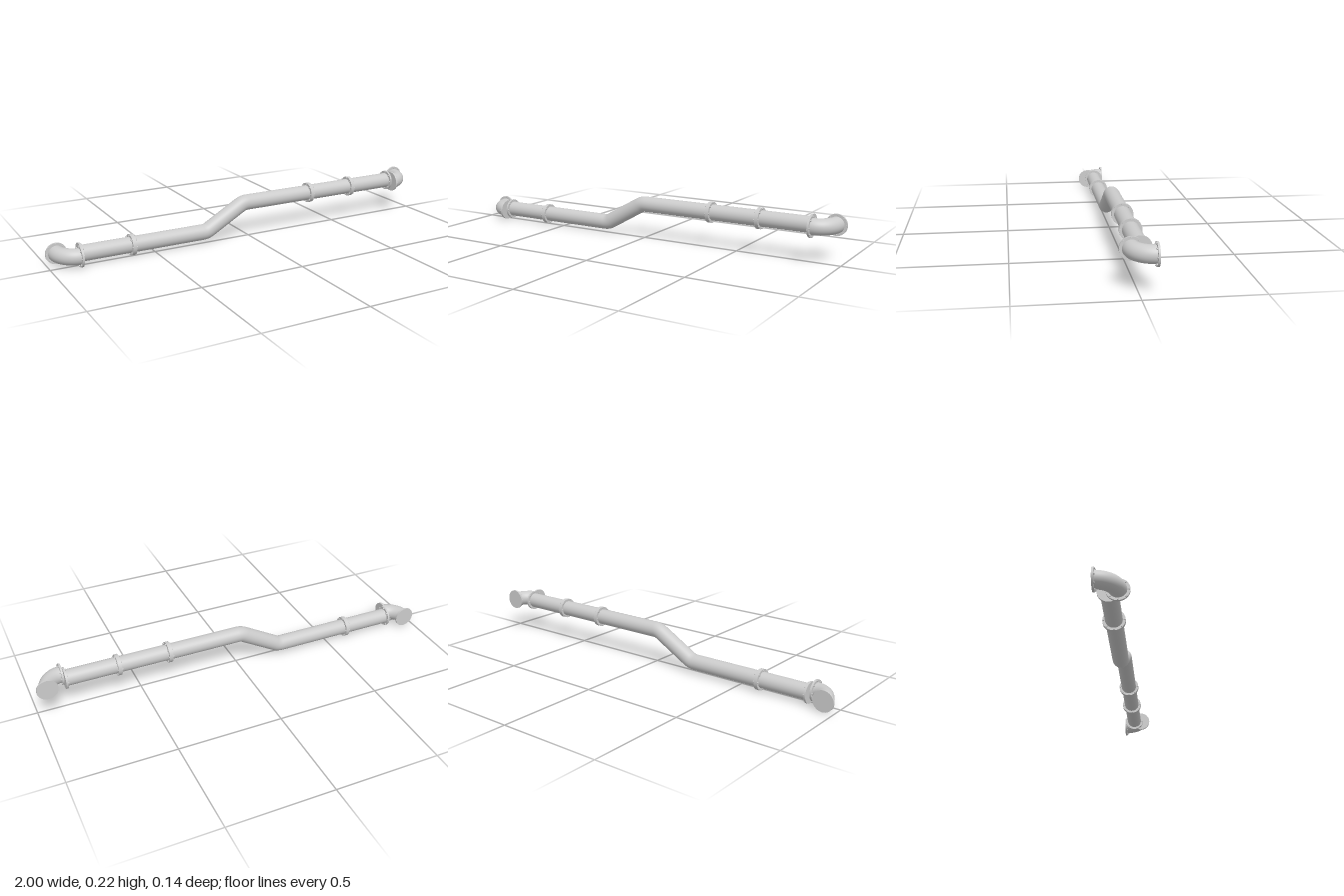
import * as THREE from 'three';

const R = 0.038;          // pipe radius
const FLANGE_R = 0.05;
const FLANGE_T = 0.009;
const LOW = 0.05, HIGH = 0.166;   // heights of the two runs
const PIPE_Z = -0.0145, ELBOW_Z = 0.022, BACK_Z = -0.072;
const END_X = 0.862, WALL_X = 0.95;

const material = new THREE.MeshStandardMaterial({ color: 0xcccccc, side: THREE.DoubleSide });
const V = (x, y, z) => new THREE.Vector3(x, y, z);

function add(parent, name, geometry) {
  const mesh = new THREE.Mesh(geometry, material);
  mesh.name = name;
  parent.add(mesh);
  return mesh;
}

// Round pipe swept along a curve
function pipe(parent, name, curve, segments = 1) {
  return add(parent, name, new THREE.TubeGeometry(curve, segments, R, 36, false));
}

// Plate whose mating face sits at pos; plate and bolts extend along dir
function flange(parent, name, pos, dir) {
  const group = new THREE.Group();
  group.name = name;
  add(group, 'plate', new THREE.CylinderGeometry(FLANGE_R, FLANGE_R, FLANGE_T, 40))
    .position.y = FLANGE_T / 2;
  for (let i = 0; i < 8; i++) {
    const a = (i / 8) * Math.PI * 2;
    add(group, 'bolt', new THREE.CylinderGeometry(0.0038, 0.0038, 0.005, 12))
      .position.set(Math.cos(a) * 0.0445, FLANGE_T + 0.0022, Math.sin(a) * 0.0445);
  }
  group.position.copy(pos);
  group.quaternion.setFromUnitVectors(V(0, 1, 0), dir);
  parent.add(group);
}

// Quarter-turn elbow leading from the run back to the wall
function elbow(parent, side, y) {
  const group = new THREE.Group();
  group.name = side > 0 ? 'leftElbow' : 'rightElbow';
  const bend = new THREE.CurvePath();
  const a = V(side * END_X, y, ELBOW_Z);
  const corner = V(side * WALL_X, y, ELBOW_Z);
  const b = V(side * WALL_X, y, BACK_Z);
  // Cubic handles approximate a circular arc
  const curve = new THREE.CubicBezierCurve3(
    a, a.clone().lerp(corner, 0.5523), b.clone().lerp(corner, 0.5523), b);
  pipe(group, 'elbowBend', curve, 20);
  flange(group, 'elbowFlange', a, V(side, 0, 0));
  flange(group, 'wallFlange', b, V(0, 0, 1));
  parent.add(group);
}

export function createModel() {
  const model = new THREE.Group();
  model.name = 'pipeline';

  // Main run: straight lengths joined by short bends
  const path = [
    V(-END_X, LOW, PIPE_Z), V(-0.225, LOW, PIPE_Z),
    V(-0.021, HIGH, PIPE_Z), V(END_X, HIGH, PIPE_Z),
  ];
  const trim = 0.02;
  const toward = (p, q) => p.clone().add(q.clone().sub(p).setLength(trim));
  for (let i = 0; i < 3; i++) {
    const start = i === 0 ? path[0] : toward(path[i], path[i + 1]);
    const end = i === 2 ? path[3] : toward(path[i + 1], path[i]);
    pipe(model, 'straightPipe', new THREE.LineCurve3(start, end));
    if (i < 2) {
      const next = toward(path[i + 1], path[i + 2]);
      pipe(model, 'pipeBend', new THREE.QuadraticBezierCurve3(end, path[i + 1], next), 6);
    }
  }

  // Bolted joints between lengths: two plates back to back
  for (const [x, y] of [[-0.61, LOW], [0.358, HIGH], [0.608, HIGH]]) {
    for (const d of [-1, 1]) flange(model, 'jointFlange', V(x, y, PIPE_Z), V(d, 0, 0));
  }

  // End plates and elbows
  for (const [side, y] of [[-1, LOW], [1, HIGH]]) {
    flange(model, 'endFlange', V(side * END_X, y, PIPE_Z), V(-side, 0, 0));
    elbow(model, side, y);
  }
  return model;
}
